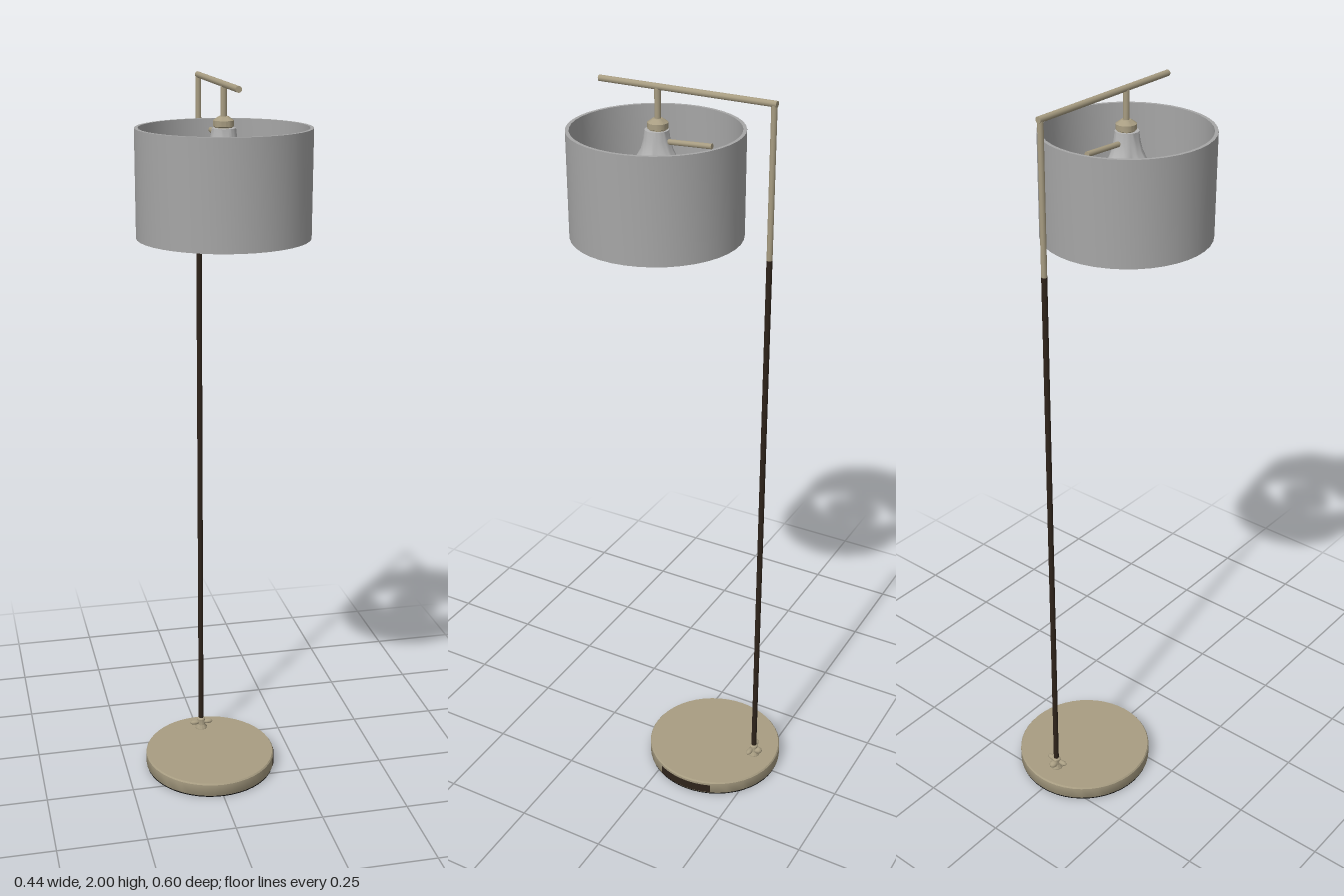
import * as THREE from 'three';
import { toCreasedNormals } from 'three/addons/utils/BufferGeometryUtils.js';

const material = (name, color, side = THREE.FrontSide) => {
  const m = new THREE.MeshStandardMaterial({ color, side });
  m.name = name;
  return m;
};

export function createModel() {
  const brass = material('brass', 0xa89d82);
  const bronze = material('darkBronze', 0x2e231a, THREE.DoubleSide);
  const fabric = material('greyFabric', 0xa6a6a6);
  const glass = material('bulbGlass', 0xb4b4b4);
  const felt = material('blackFelt', 0x090909);

  const lamp = new THREE.Group();
  lamp.name = 'floorLamp';
  const POLE_Z = -0.235, SHADE_Z = 0.078;

  const add = (name, geometry, mat, x = 0, y = 0, z = 0) => {
    const mesh = new THREE.Mesh(geometry, mat);
    mesh.name = name;
    mesh.position.set(x, y, z);
    lamp.add(mesh);
    return mesh;
  };
  const lathe = (points, segments) =>
    new THREE.LatheGeometry(points.map(([r, y]) => new THREE.Vector2(r, y)), segments);
  // Straight round bar between two points
  const bar = (name, a, b, radius, mat) => {
    const from = new THREE.Vector3(...a), to = new THREE.Vector3(...b);
    const mesh = add(name, new THREE.CylinderGeometry(radius, radius, from.distanceTo(to), 10), mat);
    mesh.position.copy(from).lerp(to, 0.5);
    mesh.quaternion.setFromUnitVectors(new THREE.Vector3(0, 1, 0), to.sub(from).normalize());
    return mesh;
  };

  // Round base with a bevelled rim, felt underside and dark worn patch
  const baseShape = lathe([[0.188, 0.003], [0.19, 0.006], [0.19, 0.039], [0.187, 0.043], [0, 0.043]], 48);
  const base = add('base', toCreasedNormals(baseShape, 0.6), brass, 0, 0, -0.105);
  base.scale.z = 1.025;
  const pad = add('basePad', new THREE.CylinderGeometry(0.188, 0.188, 0.004, 48), felt, 0, 0.002, -0.105);
  pad.scale.z = 1.025;
  const patch = add('rimPatch',
    new THREE.CylinderGeometry(0.1915, 0.1915, 0.026, 14, 1, true, 1.12, 0.85), bronze, 0, 0.021, -0.105);
  patch.scale.z = 1.025;

  // Wing nut clamping the pole to the base
  add('poleCollar', toCreasedNormals(
    lathe([[0.018, 0.04], [0.018, 0.046], [0.012, 0.055], [0.012, 0.074], [0.007, 0.078]], 12), 0.6),
  brass, 0, 0, POLE_Z);
  for (const side of [-1, 1]) {
    const wing = add('nutWing', new THREE.SphereGeometry(1, 10, 8), brass, side * 0.02, 0.064, POLE_Z + 0.004);
    wing.scale.set(0.015, 0.007, 0.008);
  }
  const lug = add('nutLug', new THREE.SphereGeometry(1, 10, 8), brass, 0, 0.06, POLE_Z - 0.012);
  lug.scale.set(0.011, 0.01, 0.014);

  // Upright pole in two finishes and the horizontal arm
  bar('lowerPole', [0, 0.043, POLE_Z], [0, 1.61, POLE_Z], 0.0075, bronze);
  bar('upperPole', [0, 1.61, POLE_Z], [0, 1.992, POLE_Z], 0.0075, brass);
  bar('arm', [0, 1.992, POLE_Z - 0.0075], [0, 1.992, 0.235], 0.008, brass);

  // Drop rod, lamp holder and inner support rod
  bar('dropRod', [0, 1.99, SHADE_Z - 0.005], [0, 1.9, SHADE_Z - 0.005], 0.008, brass);
  add('lampHolder', toCreasedNormals(
    lathe([[0, 1.84], [0.022, 1.84], [0.022, 1.89], [0.026, 1.892], [0.026, 1.906], [0.012, 1.916], [0, 1.916]], 16),
    0.6), brass, 0, 0, SHADE_Z - 0.005);
  bar('supportRod', [0, 1.86, SHADE_Z], [0, 1.868, -0.075], 0.007, brass);

  // Lobed bulb cluster: a turned profile pushed out by direction
  const lobes = [[0, 1.15], [0.4, 0.98], [0.8, 0.88], [1.2, 1], [1.5, 1.03], [1.8, 0.88],
    [2.05, 0.62], [2.4, 0.84], [2.8, 1.03], [Math.PI, 1.06]];
  const lobeAt = (angle) => {
    const i = Math.max(1, lobes.findIndex(([a]) => a >= angle - 1e-6));
    const [a0, f0] = lobes[i - 1], [a1, f1] = lobes[i];
    return THREE.MathUtils.mapLinear(angle, a0, a1, f0, f1);
  };
  const bulb = lathe([[0, 1.685], [0.035, 1.687], [0.07, 1.697], [0.092, 1.715], [0.1, 1.737],
    [0.094, 1.762], [0.076, 1.788], [0.055, 1.812], [0.04, 1.84], [0.033, 1.865], [0.03, 1.888], [0, 1.89]], 40);
  const pos = bulb.attributes.position;
  for (let i = 0; i < pos.count; i++) {
    const x = pos.getX(i), z = pos.getZ(i), r = Math.hypot(x, z);
    const blend = THREE.MathUtils.smoothstep(r, 0.025, 0.075);
    const f = 1 + (lobeAt(Math.abs(Math.atan2(x, z))) - 1) * blend;
    pos.setX(i, x * f);
    pos.setZ(i, z * f);
  }
  add('bulbCluster', toCreasedNormals(bulb, 0.9), glass, 0, 0, SHADE_Z - 0.002);

  // Open drum shade with a real wall thickness
  const shade = lathe([[0.22, 1.62], [0.22, 1.89], [0.211, 1.89], [0.211, 1.62], [0.22, 1.62]], 40);
  add('drumShade', toCreasedNormals(shade, 0.6), fabric, 0, 0, SHADE_Z);

  return lamp;
}
